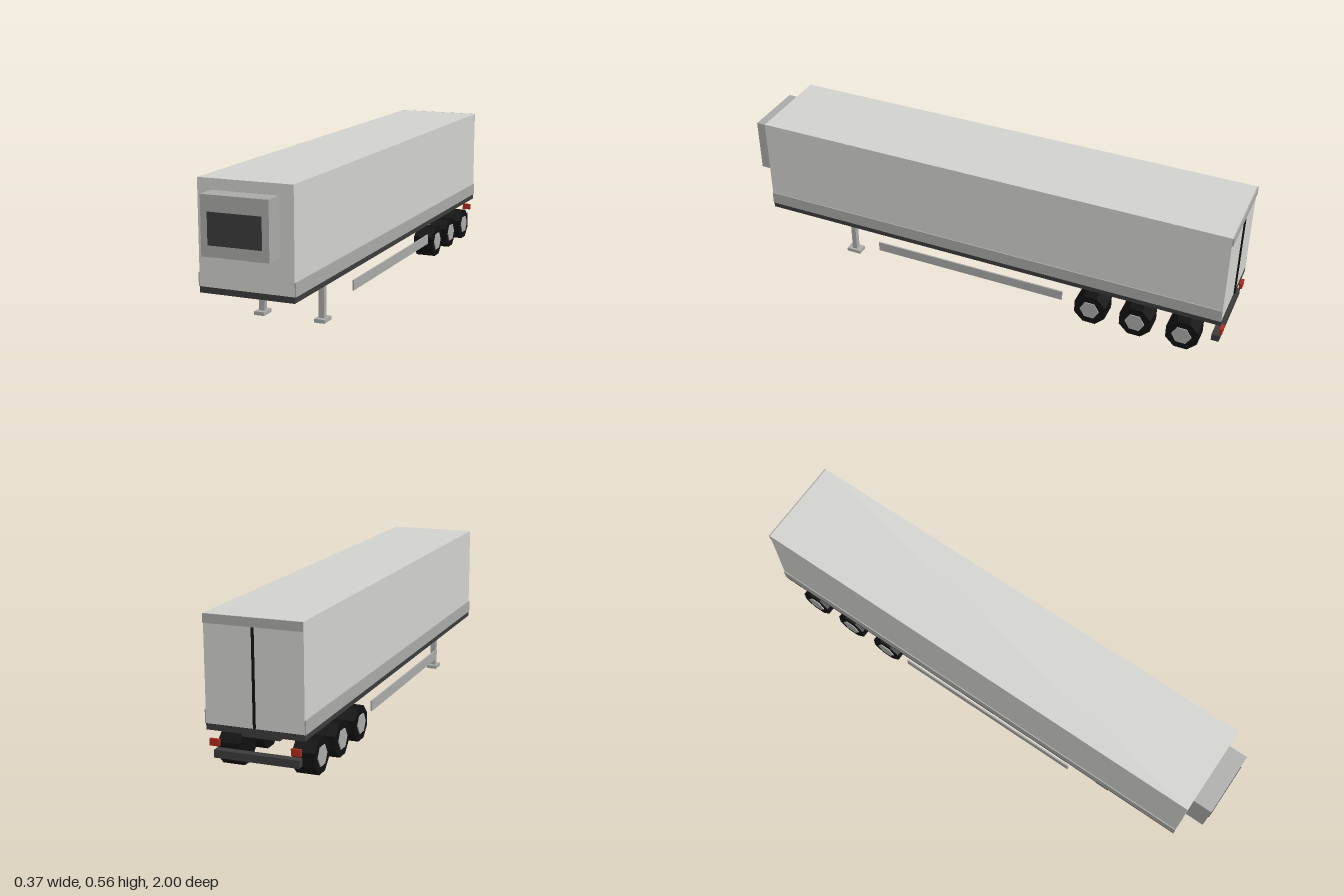
import * as THREE from 'three';

const material = (name, color) => {
  const m = new THREE.MeshStandardMaterial({ color });
  m.name = name;
  return m;
};

export function createModel() {
  const group = new THREE.Group();
  const white = material('bodyWhite', 0xd2d2ce);
  const grey = material('metalGrey', 0xaaaaa8);
  const dark = material('chassisDark', 0x3c3c3c);
  const black = material('rubberBlack', 0x111111);
  const red = material('lampRed', 0xb02a1c);
  black.flatShading = true;
  grey.flatShading = true;

  // Box given by its limits on each axis
  const box = (name, mat, [x0, x1], [y0, y1], [z0, z1]) => {
    const mesh = new THREE.Mesh(new THREE.BoxGeometry(x1 - x0, y1 - y0, z1 - z0), mat);
    mesh.position.set((x0 + x1) / 2, (y0 + y1) / 2, (z0 + z1) / 2);
    mesh.name = name;
    group.add(mesh);
  };
  // The same box on both sides, limits measured outward from the centre
  const pair = (name, mat, [x0, x1], y, z) => {
    box(name + 'Left', mat, [x0, x1], y, z);
    box(name + 'Right', mat, [-x1, -x0], y, z);
  };

  // Cargo body and its floor
  box('cargoBody', white, [-0.179, 0.179], [0.185, 0.562], [-0.994, 0.922]);
  box('floorFrame', dark, [-0.179, 0.179], [0.163, 0.185], [-0.994, 0.922]);
  box('chassisBeam', dark, [-0.07, 0.07], [0.137, 0.163], [-0.95, 0.84]);
  pair('lowerRail', grey, [0.179, 0.183], [0.185, 0.234], [-0.994, 0.922]);

  // Cooling unit on the front wall
  box('coolingUnit', grey, [-0.126, 0.126], [0.312, 0.522], [0.922, 0.997]);
  box('coolingGrille', dark, [-0.1, 0.1], [0.352, 0.465], [0.996, 1]);

  // Rear doors
  box('doorHeader', grey, [-0.179, 0.179], [0.53, 0.562], [-0.999, -0.994]);
  box('doorSeam', black, [-0.004, 0.004], [0.187, 0.53], [-1, -0.993]);

  // Landing legs
  pair('landingLeg', grey, [0.109, 0.131], [0.013, 0.163], [0.567, 0.587]);
  pair('landingFoot', grey, [0.1, 0.141], [0, 0.014], [0.547, 0.607]);

  // Side guards
  pair('sideGuard', grey, [0.174, 0.18], [0.082, 0.121], [-0.37, 0.43]);

  // Rear bumper and lamps
  box('rearBumper', dark, [-0.155, 0.155], [0.065, 0.093], [-0.99, -0.96]);
  pair('tailLamp', red, [0.131, 0.166], [0.11, 0.134], [-1, -0.988]);

  // Three axles of low-poly wheels
  const tyreGeometry = new THREE.CylinderGeometry(0.067, 0.067, 0.082, 8);
  tyreGeometry.rotateY(Math.PI / 8).rotateZ(Math.PI / 2);
  const hubGeometry = new THREE.CylinderGeometry(0.039, 0.039, 0.084, 6);
  hubGeometry.rotateZ(Math.PI / 2);
  for (const z of [-0.485, -0.668, -0.853]) {
    for (const side of [1, -1]) {
      const wheel = new THREE.Group();
      wheel.name = side > 0 ? 'wheelLeft' : 'wheelRight';
      const tyre = new THREE.Mesh(tyreGeometry, black);
      tyre.name = 'tyre';
      const hub = new THREE.Mesh(hubGeometry, grey);
      hub.name = 'hub';
      hub.position.x = side * 0.003;
      wheel.add(tyre, hub);
      wheel.position.set(side * 0.138, 0.069, z);
      group.add(wheel);
    }
  }
  return group;
}
